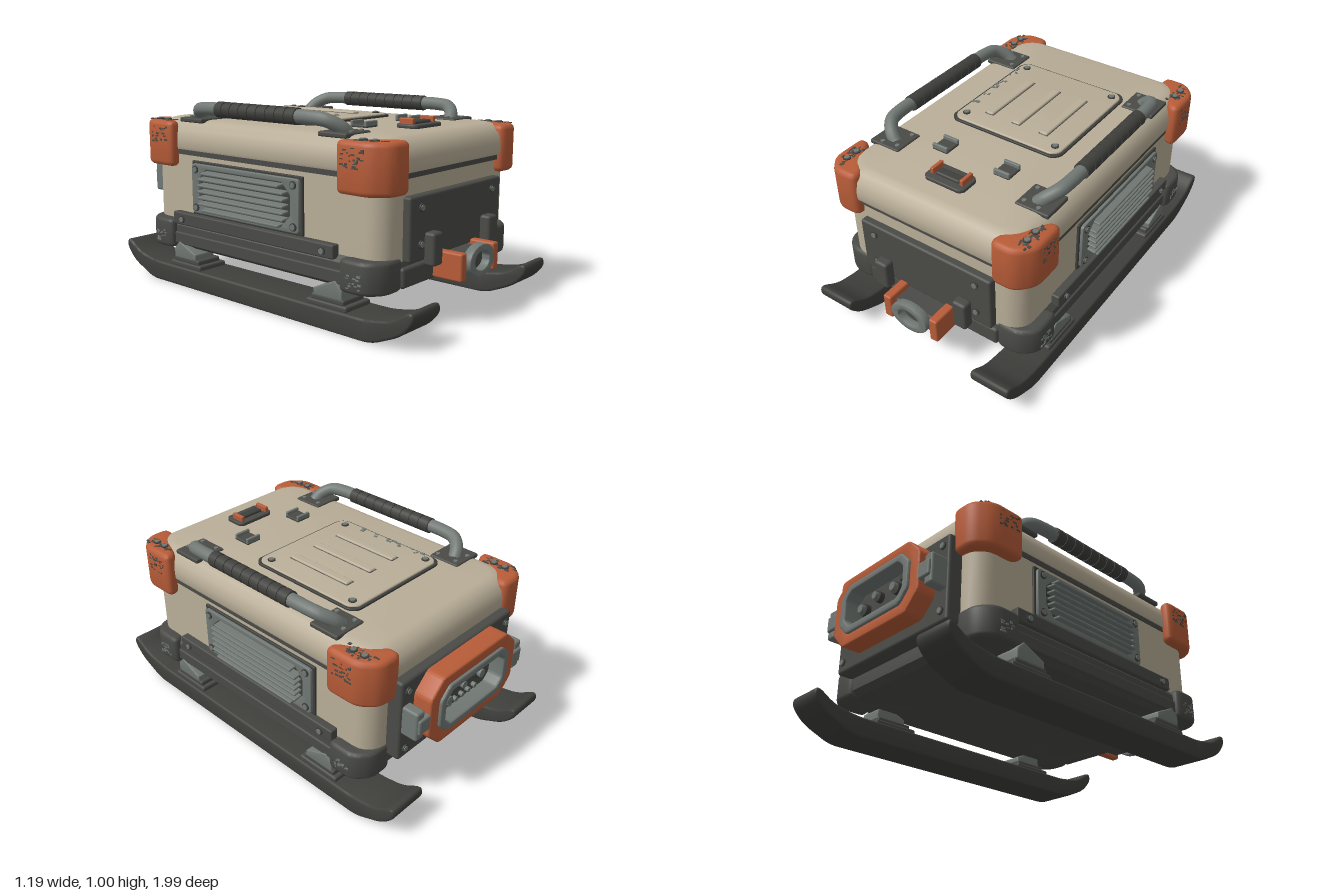
import * as THREE from 'three';
import { toCreasedNormals, mergeGeometries } from 'three/addons/utils/BufferGeometryUtils.js';
import { RoundedBoxGeometry } from 'three/addons/geometries/RoundedBoxGeometry.js';

const mat = (name, color) => Object.assign(new THREE.MeshStandardMaterial({ color }), { name });
const CREAM = mat('cream paint', 0xb9ae98);
const DARK = mat('dark plastic', 0x4a4b47);
const RUBBER = mat('black rubber', 0x3f403c);
const GREY = mat('grey metal', 0x717874);
const ORANGE = mat('orange rubber', 0xb85c38);
const V = (x, y, z) => new THREE.Vector3(x, y, z);

// Closed outline with rounded corners
function outline(pts, r, Type = THREE.Shape) {
  const s = new Type();
  const P = pts.map(([x, y]) => new THREE.Vector2(x, y));
  P.forEach((p, i) => {
    const toward = q => p.clone().add(q.clone().sub(p).setLength(Math.min(r, q.distanceTo(p) * 0.45)));
    const a = toward(P[(i + P.length - 1) % P.length]);
    const b = toward(P[(i + 1) % P.length]);
    if (i) s.lineTo(a.x, a.y); else s.moveTo(a.x, a.y);
    s.quadraticCurveTo(p.x, p.y, b.x, b.y);
  });
  s.closePath();
  return s;
}
// Rectangle with cut corners, given by half sizes
const octagon = (w, h, c) => [[w, h - c], [w - c, h], [c - w, h], [-w, h - c], [-w, c - h], [c - w, -h], [w - c, -h], [w, c - h]];

// Bevelled extrusion that keeps its overall size, from z = 0 to depth
function slab(shape, depth, bevel) {
  const g = new THREE.ExtrudeGeometry(shape, {
    depth: depth - 2 * bevel, bevelEnabled: bevel > 0, bevelSize: bevel, bevelThickness: bevel,
    bevelOffset: -bevel, bevelSegments: 3, curveSegments: 6,
  });
  return toCreasedNormals(g.translate(0, 0, bevel), 0.6);
}

// Stack of rounded rectangles [y, halfX, halfZ, cornerRadius]
function loft(rings, seg = 5) {
  const pos = [], idx = [], n = 4 * (seg + 1);
  for (const [y, hx, hz, r] of rings) {
    for (let k = 0; k < n; k++) {
      const q = Math.floor(k / (seg + 1)), a = (q + (k % (seg + 1)) / seg) * Math.PI / 2;
      const sx = q === 0 || q === 3 ? 1 : -1, sz = q < 2 ? 1 : -1;
      pos.push(sx * (hx - r) + r * Math.cos(a), y, sz * (hz - r) + r * Math.sin(a));
    }
  }
  const last = (rings.length - 1) * n, c = rings.length * n;
  pos.push(0, rings[0][0], 0, 0, rings[rings.length - 1][0], 0);
  for (let k = 0; k < n; k++) {
    const m = (k + 1) % n;
    for (let o = 0; o < last; o += n) idx.push(o + k, o + n + k, o + m, o + m, o + n + k, o + n + m);
    idx.push(c, k, m, c + 1, last + m, last + k);
  }
  const g = new THREE.BufferGeometry();
  g.setAttribute('position', new THREE.Float32BufferAttribute(pos, 3));
  g.setIndex(idx);
  return toCreasedNormals(g, 0.6);
}

export function createModel() {
  const root = new THREE.Group();
  root.name = 'sledCase';
  const add = (name, geo, material, x = 0, y = 0, z = 0) => {
    const m = new THREE.Mesh(geo, material);
    m.name = name;
    m.position.set(x, y, z);
    root.add(m);
    return m;
  };
  // Box given by its min and max corners
  const box = (name, material, x0, x1, y0, y1, z0, z1, r = 0.01) =>
    add(name, new RoundedBoxGeometry(x1 - x0, y1 - y0, z1 - z0, 2, r), material, (x0 + x1) / 2, (y0 + y1) / 2, (z0 + z1) / 2);
  // Round post along an axis direction
  const post = (name, material, r, h, p, dir) => {
    const m = add(name, new THREE.CylinderGeometry(r, r, h, 16), material, ...p);
    m.quaternion.setFromUnitVectors(V(0, 1, 0), V(...dir));
    return m;
  };
  const screw = (p, dir) => {
    post('screwWasher', RUBBER, 0.02, 0.012, p, dir);
    post('screwHead', GREY, 0.014, 0.02, p, dir);
  };
  let seed = 7;
  const rnd = () => (seed = (seed * 16807) % 2147483647) / 2147483647;
  // Worn paint flecks scattered over a thin region
  const flecks = (name, material, count, x, y, z) => {
    const at = ([a, b]) => a + (b - a) * rnd();
    const dim = ([a, b], k) => (b - a < 0.01 ? 0.004 : (0.006 + 0.014 * rnd()) * k);
    const list = [];
    for (let i = 0; i < count; i++)
      list.push(new THREE.BoxGeometry(dim(x, 0.8), dim(y, 0.5), dim(z, 1.1)).translate(at(x), at(y), at(z)));
    add(name, mergeGeometries(list), material);
  };

  // Hull, seam and lid
  add('baseTray', loft([[0.21, 0.53, 0.75, 0.08], [0.235, 0.56, 0.785, 0.09], [0.33, 0.56, 0.785, 0.09], [0.36, 0.535, 0.77, 0.09]]), DARK);
  add('body', loft([[0.34, 0.535, 0.79, 0.1], [0.722, 0.535, 0.79, 0.1]]), CREAM);
  add('lidSeam', loft([[0.715, 0.54, 0.805, 0.1], [0.75, 0.54, 0.805, 0.1]]), DARK);
  add('lid', loft([[0.742, 0.545, 0.815, 0.11], [0.755, 0.55, 0.82, 0.11], [0.80, 0.55, 0.82, 0.11], [0.845, 0.54, 0.81, 0.11],
    [0.88, 0.51, 0.78, 0.11], [0.895, 0.485, 0.755, 0.11], [0.9, 0.46, 0.735, 0.11]]), CREAM);

  // Top hatch with three ribs
  const flat = (g) => g.rotateX(-Math.PI / 2);
  add('hatchGasket', flat(slab(outline(octagon(0.328, 0.343, 0.035), 0.02), 0.012, 0.003)), RUBBER, 0, 0.899, -0.15);
  add('hatch', flat(slab(outline(octagon(0.315, 0.33, 0.033), 0.02), 0.02, 0.006)), CREAM, 0, 0.899, -0.15);
  for (const x of [-0.165, 0, 0.165]) {
    box('hatchRibEdge', DARK, x - 0.027, x + 0.027, 0.912, 0.921, -0.322, 0.072, 0.004);
    box('hatchRib', CREAM, x - 0.023, x + 0.023, 0.91, 0.93, -0.318, 0.068, 0.009);
  }
  for (const x of [-0.27, 0.27]) for (const z of [-0.43, 0.12]) screw([x, 0.918, z], [0, 1, 0]);
  flecks('hatchWear', GREY, 22, [-0.31, -0.28], [0.919, 0.92], [-0.42, 0.05]);

  // Latch and cable clips on the lid
  add('latchPlate', flat(slab(outline(octagon(0.115, 0.065, 0.02), 0.01), 0.02, 0.005)), DARK, 0, 0.898, 0.595);
  box('latchBar', RUBBER, -0.07, 0.07, 0.91, 0.932, 0.57, 0.62);
  for (const s of [-1, 1]) {
    box('latchEar', ORANGE, s * 0.086 - 0.01, s * 0.086 + 0.01, 0.9, 0.947, 0.545, 0.625, 0.005);
    const cx = s * 0.183;
    box('clipBase', DARK, cx - 0.045, cx + 0.045, 0.898, 0.913, 0.35, 0.45, 0.005);
    for (const e of [-1, 1]) box('clipLip', GREY, cx - 0.045, cx + 0.045, 0.9, 0.932, 0.4 + e * 0.042 - 0.008, 0.4 + e * 0.042 + 0.008, 0.005);
  }

  // Corner bumpers
  const plan = [[0.595, 0.565], [0.595, 0.75], [0.52, 0.835], [0.395, 0.835], [0.39, 0.765], [0.48, 0.67], [0.535, 0.565]];
  for (const s of [-1, 1]) for (const f of [-1, 1]) {
    const bumper = (k) => outline(plan.map(([x, z]) => [s * x, f * (z * k + 0.835 * (1 - k))]), 0.045);
    add('upperBumper', slab(bumper(1), 0.24, 0.025).rotateX(Math.PI / 2), ORANGE, 0, 0.89, 0);
    add('lowerBumper', slab(bumper(0.8), 0.155, 0.02).rotateX(Math.PI / 2), DARK, 0, 0.362, -f * 0.035);
    for (const z of [0.67, 0.735]) screw([s * 0.525, 0.889, f * z], [0, 1, 0]);
    const zr = (a, b) => (f > 0 ? [a, b] : [-b, -a]), xr = (a, b) => (s > 0 ? [a, b] : [-b, -a]);
    flecks('bumperTopWear', DARK, 24, xr(0.5, 0.56), [0.889, 0.89], zr(0.62, 0.79));
    flecks('bumperSideWear', DARK, 26, xr(0.5945, 0.595), [0.77, 0.86], zr(0.6, 0.72));
    flecks('lowerBumperWear', GREY, 16, xr(0.5945, 0.595), [0.235, 0.30], zr(0.63, 0.71));
  }

  for (const s of [-1, 1]) {
    // Carry handle
    for (const f of [-1, 1]) {
      box('handleBracket', DARK, Math.min(s * 0.345, s * 0.525), Math.max(s * 0.345, s * 0.525), 0.885, 0.909, f * 0.487 - 0.085, f * 0.487 + 0.085, 0.008);
      for (const [x, z] of [[0.375, 0.54], [0.375, 0.43], [0.46, 0.55]]) post('bracketScrew', GREY, 0.011, 0.01, [s * x, 0.91, f * z], [0, 1, 0]);
    }
    const path = new THREE.CatmullRomCurve3([[0.42, 0.89, 0.5], [0.455, 0.925, 0.485], [0.498, 0.957, 0.435], [0.51, 0.965, 0.36], [0.51, 0.965, 0.15],
      [0.51, 0.965, -0.15], [0.51, 0.965, -0.36], [0.498, 0.957, -0.435], [0.455, 0.925, -0.485], [0.42, 0.89, -0.5]].map(([x, y, z]) => V(s * x, y, z)));
    add('handleTube', new THREE.TubeGeometry(path, 60, 0.034, 14), GREY);
    post('handleGrip', RUBBER, 0.037, 0.55, [s * 0.51, 0.965, 0], [0, 0, 1]);
    for (let i = 0; i < 9; i++) post('gripRing', RUBBER, 0.041, 0.05, [s * 0.51, 0.965, -0.248 + i * 0.062], [0, 0, 1]);

    // Louvred side vent
    const side = (x0, x1) => [Math.min(s * x0, s * x1), Math.max(s * x0, s * x1)];
    box('ventBacking', RUBBER, ...side(0.525, 0.547), 0.408, 0.692, -0.455, 0.33, 0.005);
    const face = outline(octagon(0.38, 0.13, 0.012), 0.006);
    face.holes.push(outline(octagon(0.325, 0.105, 0.055), 0.012, THREE.Path));
    add('ventFrame', slab(face, 0.02, 0.003).rotateY(Math.PI / 2), GREY, s > 0 ? 0.542 : -0.562, 0.55, -0.0625);
    for (let i = 0; i < 7; i++) {
      const len = i === 0 || i === 6 ? 0.55 : 0.61;
      const fin = add('ventFin', new RoundedBoxGeometry(0.05, 0.013, len, 2, 0.005), GREY, s * 0.57, 0.448 + i * 0.032, -0.0625);
      fin.rotation.z = -s * 0.12;
    }
    for (const z of [0.285, -0.41]) for (const y of [0.45, 0.65]) screw([s * 0.562, y, z], [s, 0, 0]);

    // Side rail and sill
    box('sideRail', DARK, ...side(0.53, 0.577), 0.34, 0.408, -0.59, 0.54, 0.008);
    box('sideSill', DARK, ...side(0.53, 0.57), 0.23, 0.295, -0.59, 0.59, 0.008);
    for (const z of [0.475, -0.515]) screw([s * 0.577, 0.372, z], [s, 0, 0]);

    // Ski with its two struts
    const ski = outline([[-0.985, 0.205], [-1, 0.15], [-0.93, 0.075], [-0.77, 0.005], [0.77, 0.005], [0.93, 0.075], [1, 0.15], [0.985, 0.205],
      [0.88, 0.135], [0.74, 0.11], [-0.74, 0.11], [-0.88, 0.135]], 0.05);
    add('ski', slab(ski, 0.215, 0.012).rotateY(Math.PI / 2), RUBBER, s > 0 ? 0.38 : -0.595, 0, 0);
    for (const f of [-1, 1]) {
      box('strutFoot', DARK, ...side(0.40, 0.58), 0.105, 0.135, f * 0.5 - 0.122, f * 0.5 + 0.122);
      box('strutPad', DARK, ...side(0.42, 0.572), 0.13, 0.16, f * 0.5 - 0.1, f * 0.5 + 0.1);
      const wedge = outline([[-0.59, 0.155], [-0.59, 0.205], [-0.55, 0.245], [-0.42, 0.19], [-0.42, 0.155]].map(([a, b]) => [f * a, b]), 0.006);
      add('strut', slab(wedge, 0.13, 0.005).rotateY(Math.PI / 2), GREY, s > 0 ? 0.445 : -0.575, 0, 0);
    }

    // Front strap hooks and tow brackets
    box('strapHook', DARK, ...side(0.202, 0.28), 0.305, 0.462, 0.825, 0.885, 0.015);
    box('towBracket', ORANGE, ...side(0.118, 0.166), 0.222, 0.356, 0.77, 0.96, 0.01);
    for (const y of [0.41, 0.58]) screw([s * 0.305, y, 0.831], [0, 0, 1]);
  }

  // Front panel and tow eye
  box('frontPanel', DARK, -0.39, 0.39, 0.335, 0.635, 0.78, 0.83, 0.012);
  box('frontSill', DARK, -0.4, 0.4, 0.213, 0.31, 0.74, 0.805, 0.015);
  box('towBlock', DARK, -0.115, 0.115, 0.235, 0.335, 0.77, 0.93);
  const ring = new THREE.Shape().absellipse(0, 0, 0.11, 0.079, 0, Math.PI * 2);
  ring.holes.push(new THREE.Path().absellipse(0, 0, 0.064, 0.047, 0, Math.PI * 2));
  const eye = new THREE.ExtrudeGeometry(ring, { depth: 0.034, bevelSize: 0.006, bevelThickness: 0.006, bevelOffset: -0.006, bevelSegments: 2, curveSegments: 20 });
  add('towEye', toCreasedNormals(eye, 0.6), GREY, 0, 0.298, 0.932);

  // Rear control housing
  box('rearPanel', DARK, -0.42, 0.42, 0.3, 0.745, -0.865, -0.77, 0.015);
  const frame = (name, material, w, h, c, iw, ih, ic, z0, z1) => {
    const sh = outline(octagon(w, h, c), 0.02);
    sh.holes.push(outline(octagon(iw, ih, ic), 0.012, THREE.Path));
    add(name, slab(sh, z1 - z0, 0.008), material, 0, 0.548, z0);
  };
  frame('rearFrame', ORANGE, 0.33, 0.188, 0.085, 0.262, 0.128, 0.06, -0.962, -0.855);
  frame('rearBezel', GREY, 0.268, 0.134, 0.062, 0.225, 0.095, 0.04, -0.975, -0.86);
  add('controlPanel', slab(outline(octagon(0.24, 0.11, 0.04), 0.01), 0.03, 0.003), DARK, 0, 0.548, -0.895);
  for (const [x, y, r] of [[0.15, 0.545, 0.032], [0.04, 0.575, 0.028], [-0.1, 0.565, 0.032]]) {
    post('knobCollar', RUBBER, r, 0.03, [x, y, -0.905], [0, 0, 1]);
    post('knob', GREY, r * 0.68, 0.055, [x, y, -0.912], [0, 0, 1]);
  }
  for (let i = 0; i < 5; i++) post('button', GREY, 0.013, 0.03, [0.11 - i * 0.05, 0.487, -0.9], [0, 0, 1]);
  box('panelSwitch', RUBBER, -0.2, -0.13, 0.585, 0.62, -0.92, -0.89, 0.008);
  for (const s of [-1, 1]) {
    box('rearLatch', GREY, s * 0.38 - 0.028, s * 0.38 + 0.028, 0.458, 0.615, -0.95, -0.84, 0.012);
    box('rearLatchTab', GREY, s * 0.36 - 0.04, s * 0.36 + 0.04, 0.495, 0.578, -0.962, -0.9, 0.01);
    for (const y of [0.355, 0.69]) screw([s * 0.375, y, -0.866], [0, 0, -1]);
  }
  return root;
}
